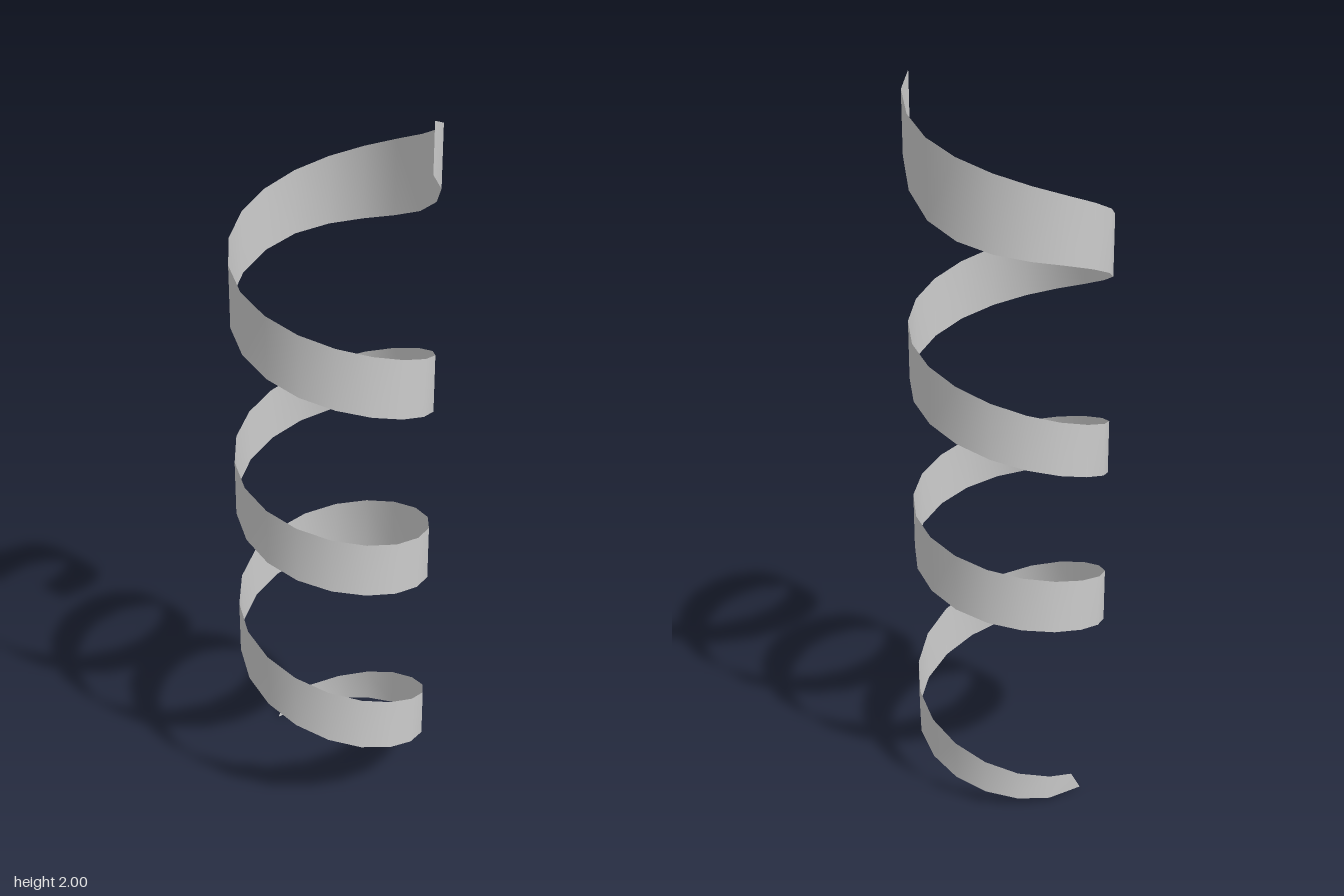
import * as THREE from 'three';

const RADIUS = 0.268;
const QUARTERS = 13.7; // length of the helix in quarter turns
const SEGMENTS = 62;

// Heights of the lower and upper edge at every quarter turn, starting at the back
const EDGES = [
  [0, 0.065], [0.08, 0.2], [0.22, 0.38], [0.38, 0.54], [0.535, 0.69],
  [0.635, 0.8], [0.74, 0.895], [0.85, 1.01], [1.0, 1.15], [1.135, 1.295],
  [1.265, 1.43], [1.4, 1.57], [1.57, 1.74], [1.68, 1.885], [1.93, 2.045],
];

export function createModel() {
  const group = new THREE.Group();
  const heights = new THREE.SplineCurve(EDGES.map(([lo, hi]) => new THREE.Vector2(lo, hi)));
  const positions = [];
  const indices = [];

  // Sweep the ribbon's cross-section (a vertical line) round the helix
  for (let i = 0; i <= SEGMENTS; i++) {
    const quarter = (i / SEGMENTS) * QUARTERS;
    const edge = heights.getPoint(quarter / (EDGES.length - 1));
    [edge.x, edge.y].forEach((y, side) => {
      // The lower tip is cut at a slant
      const slant = i === 0 ? (side ? 0.07 : -0.07) : 0;
      const angle = quarter * Math.PI / 2 + slant;
      positions.push(RADIUS * Math.sin(angle), Math.min(y, 2), -RADIUS * Math.cos(angle));
    });
    if (i < SEGMENTS) {
      const a = i * 2;
      indices.push(a, a + 1, a + 2, a + 1, a + 3, a + 2);
    }
  }

  const geometry = new THREE.BufferGeometry();
  geometry.setAttribute('position', new THREE.Float32BufferAttribute(positions, 3));
  geometry.setIndex(indices);
  geometry.computeVertexNormals();

  const ribbon = new THREE.Mesh(
    geometry,
    new THREE.MeshStandardMaterial({ color: 0xcccccc, side: THREE.DoubleSide })
  );
  ribbon.name = 'spiralRibbon';
  group.add(ribbon);
  return group;
}
